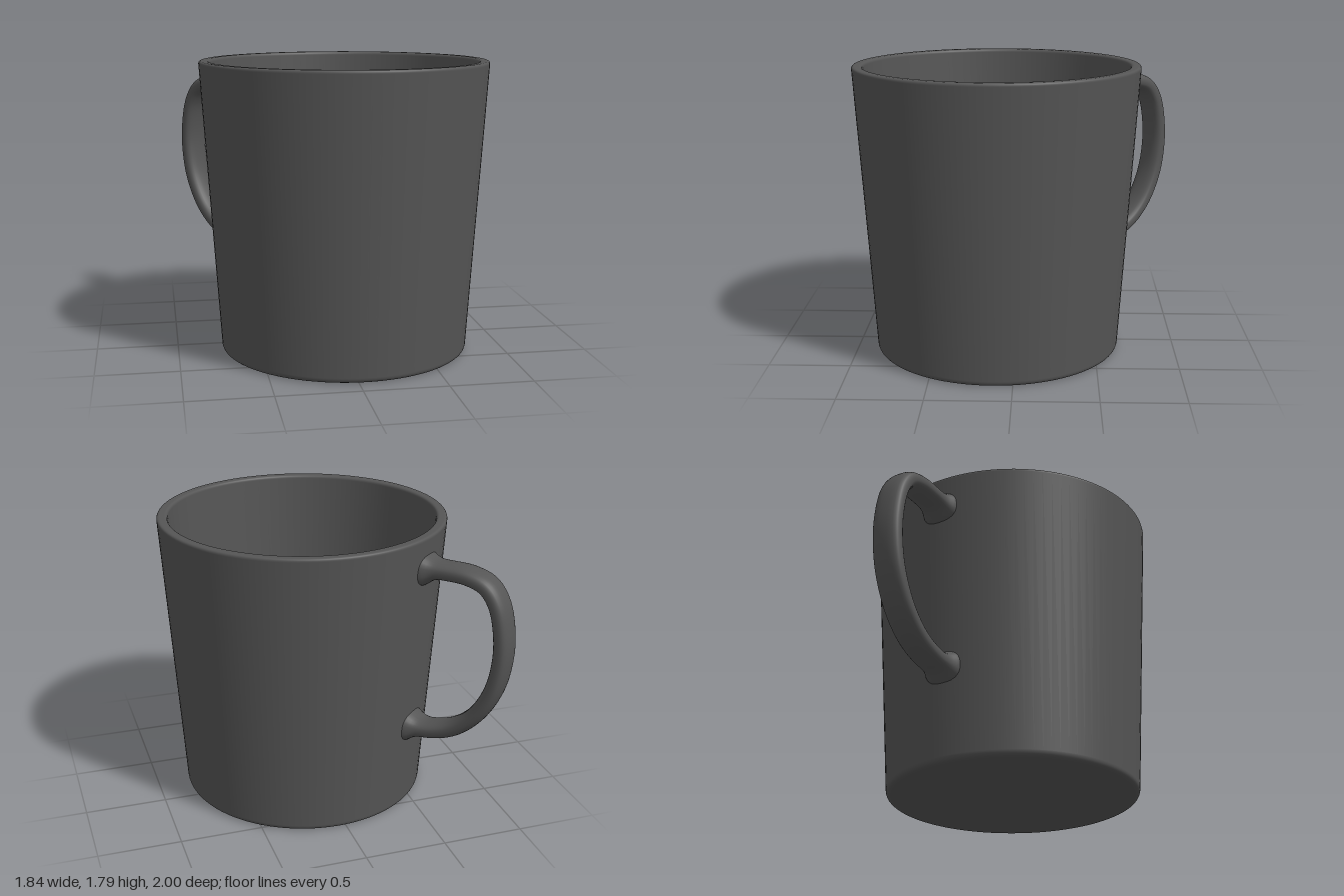
import * as THREE from 'three';

const HEIGHT = 1.79, R_BOTTOM = 0.765, R_TOP = 0.88;
const wallRadius = (y) => R_BOTTOM + (R_TOP - R_BOTTOM) * y / HEIGHT;

// Hollow tapered cup: outside, rounded rim, inside wall, filleted floor
function cupGeometry() {
  const corners = [ // radius, height, rounding
    [0, 0, 0], [R_BOTTOM, 0, 0.035], [R_TOP, HEIGHT, 0.02],
    [0.815, HEIGHT, 0.02], [0.705, 0.08, 0.1], [0, 0.08, 0],
  ];
  const points = [];
  corners.forEach(([x, y, round], i) => {
    const corner = new THREE.Vector2(x, y);
    if (!round) { points.push(corner); return; }
    const toward = (k) => {
      const dir = new THREE.Vector2(corners[k][0], corners[k][1]).sub(corner).normalize();
      return corner.clone().addScaledVector(dir, round);
    };
    points.push(...new THREE.QuadraticBezierCurve(toward(i - 1), corner, toward(i + 1)).getPoints(8));
  });
  return new THREE.LatheGeometry(points, 96);
}

// Flattened oval section swept along the handle curve, flaring into the wall
function handleGeometry() {
  const path = new THREE.CatmullRomCurve3([
    [wallRadius(1.59) - 0.025, 1.59], [1.0, 1.6], [1.14, 1.595], [1.25, 1.555],
    [1.32, 1.46], [1.36, 1.3], [1.365, 1.13], [1.325, 0.93], [1.225, 0.745],
    [1.09, 0.625], [0.94, 0.57], [wallRadius(0.56) - 0.025, 0.56],
  ].map(([r, y]) => new THREE.Vector3(r, y, 0)));
  const steps = 96, sides = 28, length = path.getLength();
  const positions = [], indices = [];
  const soften = (v) => Math.sign(v) * Math.abs(v) ** 0.8;
  for (let i = 0; i <= steps; i++) {
    const u = i / steps;
    const p = path.getPointAt(u), t = path.getTangentAt(u);
    const fromWall = Math.min(u, 1 - u) * length;
    const flare = 0.05 * Math.exp(-((fromWall / 0.06) ** 2));
    for (let j = 0; j < sides; j++) {
      const a = j / sides * Math.PI * 2;
      const n = soften(Math.cos(a)) * (0.051 + flare);
      const w = soften(Math.sin(a)) * (0.09 + flare * 0.6);
      positions.push(p.x - t.y * n, p.y + t.x * n, w);
      if (i === steps) continue;
      const k = i * sides + j, next = i * sides + (j + 1) % sides;
      indices.push(k, next, k + sides, next, next + sides, k + sides);
    }
  }
  const geometry = new THREE.BufferGeometry();
  geometry.setAttribute('position', new THREE.Float32BufferAttribute(positions, 3));
  geometry.setIndex(indices);
  geometry.computeVertexNormals();
  return geometry;
}

export function createModel() {
  const group = new THREE.Group();
  group.name = 'mug';
  const material = new THREE.MeshStandardMaterial({ color: 0x555555 });

  const cup = new THREE.Mesh(cupGeometry(), material);
  cup.name = 'cup';

  // Handle points to the back right
  const handle = new THREE.Mesh(handleGeometry(), material);
  handle.name = 'handle';
  handle.rotation.y = Math.atan2(0.767, -0.642);

  for (const part of [cup, handle]) {
    part.position.set(0.04, 0, 0.12);
    group.add(part);
  }
  return group;
}
